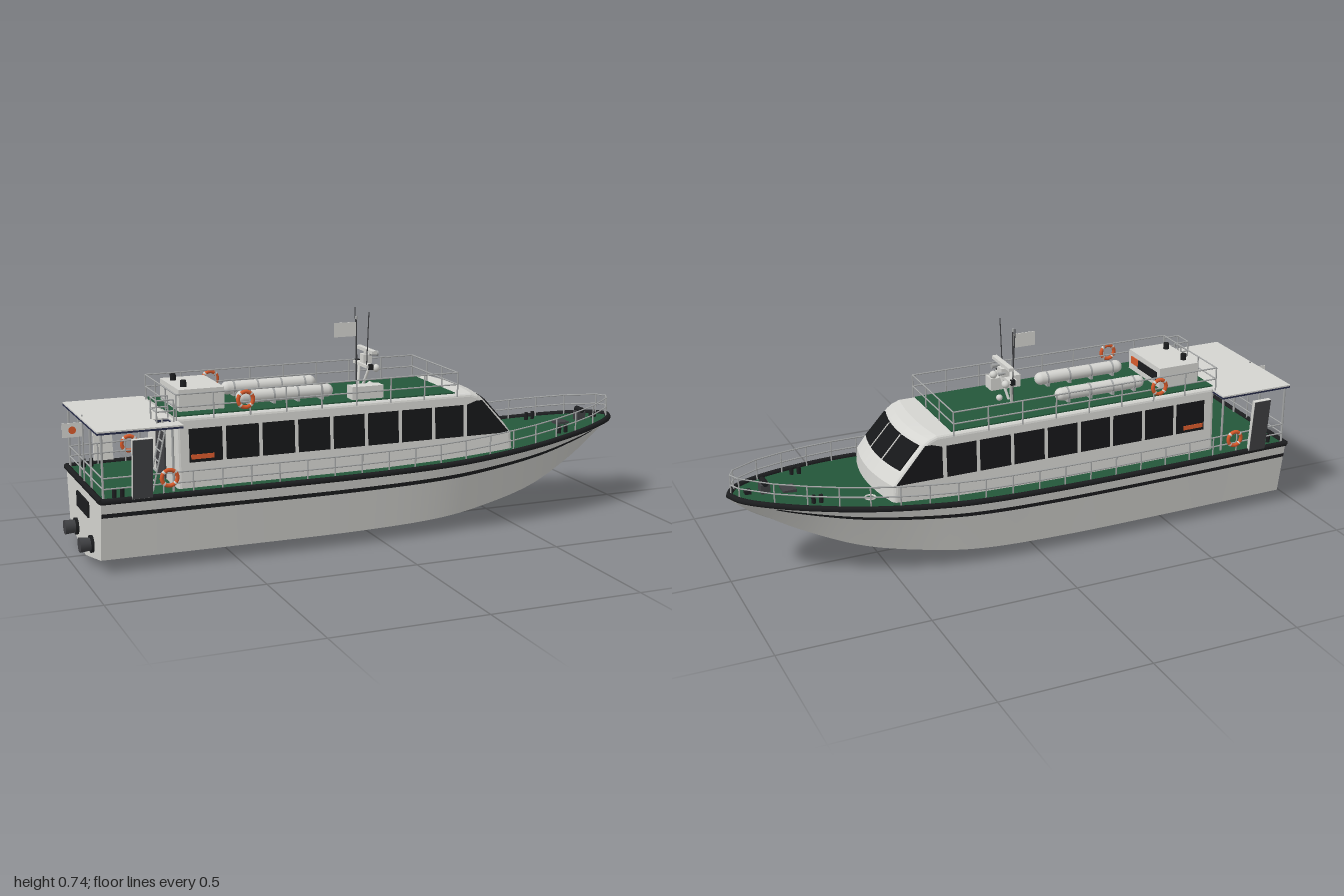
import * as THREE from 'three';

const mat = (name, color, side = THREE.FrontSide) => {
  const m = new THREE.MeshStandardMaterial({ color, side });
  m.name = name;
  return m;
};
const M = {
  white: mat('hullWhite', 0xd4d4d0, THREE.DoubleSide),
  green: mat('deckGreen', 0x24573a, THREE.DoubleSide),
  black: mat('trimBlack', 0x1c1d1f, THREE.DoubleSide),
  glass: mat('darkGlass', 0x161719),
  steel: mat('railSteel', 0xa6a8a8),
  dark: mat('darkGrey', 0x404144),
  orange: mat('safetyOrange', 0xd95a2b),
  navy: mat('navy', 0x262b48),
};
const V = (x, y, z) => new THREE.Vector3(x, y, z);

// Hull stations: x, keel y, chine y, chine z, sheer y, sheer z
const STATIONS = [
  [-0.94, 0, 0.043, 0.215, 0.237, 0.246],
  [-0.5, 0, 0.043, 0.222, 0.237, 0.255],
  [-0.1, 0, 0.043, 0.222, 0.237, 0.256],
  [0.2, 0.006, 0.052, 0.214, 0.243, 0.254],
  [0.4, 0.04, 0.075, 0.188, 0.254, 0.24],
  [0.6, 0.088, 0.112, 0.14, 0.27, 0.208],
  [0.78, 0.16, 0.178, 0.08, 0.286, 0.152],
  [0.9, 0.222, 0.238, 0.035, 0.297, 0.095],
  [0.96, 0.268, 0.272, 0.012, 0.302, 0.048],
  [0.985, 0.29, 0.293, 0, 0.304, 0],
];
const curve = (f) => new THREE.CatmullRomCurve3(STATIONS.map(f), false, 'catmullrom', 0.5);
const keel = curve((s) => V(s[0], s[1], 0));
const chine = curve((s) => V(s[0], s[2], s[3]));
const sheer = curve((s) => V(s[0], s[4], s[5]));
const flip = (p) => V(p.x, p.y, -p.z);

// Curve parameter at a given x
function tAt(x) {
  let a = 0, b = 1;
  for (let i = 0; i < 30; i++) {
    const m = (a + b) / 2;
    if (sheer.getPoint(m).x < x) a = m; else b = m;
  }
  return a;
}

// Surface through rows of points
function loft(rows) {
  const n = rows[0].length, idx = [];
  for (let i = 0; i < rows.length - 1; i++)
    for (let j = 0; j < n - 1; j++) {
      const a = i * n + j, b = a + n;
      idx.push(a, b, a + 1, b, b + 1, a + 1);
    }
  const g = new THREE.BufferGeometry().setFromPoints(rows.flat());
  g.setIndex(idx);
  g.computeVertexNormals();
  return g;
}

export function createModel() {
  const root = new THREE.Group();
  root.name = 'patrolBoat';
  const add = (name, geo, m, x = 0, y = 0, z = 0) => {
    const mesh = new THREE.Mesh(geo, m);
    mesh.name = name;
    mesh.position.set(x, y, z);
    root.add(mesh);
    return mesh;
  };
  // Box given by its limits
  const box = (name, m, x0, x1, y0, y1, z0, z1) =>
    add(name, new THREE.BoxGeometry(x1 - x0, y1 - y0, z1 - z0), m, (x0 + x1) / 2, (y0 + y1) / 2, (z0 + z1) / 2);
  const rod = (name, a, b, r = 0.0028, m = M.steel) => {
    const mesh = add(name, new THREE.CylinderGeometry(r, r, a.distanceTo(b), 6), m);
    mesh.position.copy(a).add(b).multiplyScalar(0.5);
    mesh.quaternion.setFromUnitVectors(V(0, 1, 0), b.clone().sub(a).normalize());
    return mesh;
  };
  // Railing along base points with a post at each
  const railing = (name, pts, levels, r = 0.0025) => {
    const up = (p, h) => V(p.x, p.y + h, p.z);
    pts.forEach((p, i) => {
      rod(name + 'Post', p, up(p, levels[0]), r);
      if (i) levels.forEach((h) => rod(name + 'Bar', up(pts[i - 1], h), up(p, h), r));
    });
  };
  const sides = [1, -1];

  // Hull: bottom and side panels, transom, deck
  const ts = Array.from({ length: 61 }, (_, i) => i / 60);
  const strip = (a, b) => loft(ts.map((t) => [a(t), b(t)]));
  const K = (t) => keel.getPoint(t), C = (t) => chine.getPoint(t), S = (t) => sheer.getPoint(t);
  const Cm = (t) => flip(C(t)), Sm = (t) => flip(S(t));
  add('hullBottomLeft', strip(K, C), M.white);
  add('hullBottomRight', strip(Cm, K), M.white);
  add('hullSideLeft', strip(C, S), M.white);
  add('hullSideRight', strip(Sm, Cm), M.white);
  add('transom', loft([[Sm(0), S(0)], [Cm(0), C(0)], [K(0), K(0)]]), M.white);
  add('deck', strip(S, Sm), M.green);

  // Rub rail around the sheer and hull stripes
  const rim = [...ts.map(S), ...ts.slice(0, -1).reverse().map(Sm)];
  add('rubRail', new THREE.TubeGeometry(new THREE.CatmullRomCurve3(rim), 160, 0.01, 8), M.black);
  rod('sternRubRail', S(0), Sm(0), 0.01, M.black);
  const onSide = (t, f) => S(t).lerp(C(t), f).add(V(0.001, -0.001, 0.002));
  const tEnd = tAt(0.86);
  const stripeRows = ts.map((t) => [onSide(t * tEnd, 0.27), onSide(t * tEnd, 0.2)]);
  add('hullStripeLeft', loft(stripeRows), M.black);
  add('hullStripeRight', loft(stripeRows.map((r) => [flip(r[1]), flip(r[0])])), M.black);

  // Transom panel and exhausts
  box('transomPanel', M.black, -0.946, -0.938, 0.145, 0.195, -0.08, 0.08);
  for (const s of sides) {
    add('exhaust', new THREE.CylinderGeometry(0.024, 0.02, 0.045, 16).rotateZ(Math.PI / 2), M.dark, -0.96, 0.068, s * 0.108);
    add('exhaustFlange', new THREE.CylinderGeometry(0.028, 0.028, 0.01, 16).rotateZ(Math.PI / 2), M.black, -0.944, 0.068, s * 0.108);
  }

  // Cabin: side profile extruded across, tapered upward and bowed at the nose
  const warp = (g) => {
    const p = g.attributes.position;
    for (let i = 0; i < p.count; i++) {
      const x = p.getX(i), y = p.getY(i), z = p.getZ(i);
      p.setZ(i, z * (1 - 0.22 * (y - 0.235)));
      p.setX(i, x - 0.8 * z * z * THREE.MathUtils.clamp((x - 0.3) / 0.1, 0, 1));
    }
    g.computeVertexNormals();
    return g;
  };
  const extrude = (pts, z0, z1, steps = 1, bevel = 0) => {
    const shape = new THREE.Shape(pts.map((p) => new THREE.Vector2(p[0], p[1])));
    return new THREE.ExtrudeGeometry(shape, {
      depth: z1 - z0, steps, bevelEnabled: bevel > 0, bevelSize: bevel, bevelThickness: bevel,
      bevelOffset: -bevel, bevelSegments: 3,
    }).translate(0, 0, z0);
  };
  add('cabin', warp(extrude([[-0.68, 0.225], [0.53, 0.225], [0.523, 0.315], [0.495, 0.352], [0.415, 0.44],
    [0.395, 0.454], [0.36, 0.463], [-0.68, 0.463]], -0.173, 0.173, 8, 0.012)), M.white);
  add('windscreen', warp(extrude([[0.485, 0.358], [0.493, 0.36], [0.426, 0.435], [0.416, 0.433]], -0.166, 0.166, 8)), M.glass);
  for (const z of [-0.056, 0.056])
    add('windscreenPillar', warp(extrude([[0.486, 0.358], [0.495, 0.361], [0.428, 0.436], [0.416, 0.433]], z - 0.002, z + 0.002)), M.white);
  for (const s of sides) {
    const plate = (name, pts, m, d = 0.003) => {
      const a = 0.1835 * s, b = a + d * s;
      add(name, warp(extrude(pts, Math.min(a, b), Math.max(a, b))), m);
    };
    for (let i = 0; i < 8; i++) {
      const x = -0.64 + i * 0.1215;
      plate('sideWindow', [[x, 0.318], [x + 0.109, 0.318], [x + 0.109, 0.425], [x, 0.425]], M.glass);
    }
    plate('frontQuarterWindow', [[0.34, 0.318], [0.516, 0.318], [0.413, 0.436], [0.388, 0.436], [0.34, 0.425]], M.glass);
    plate('orangePanel', [[-0.635, 0.328], [-0.56, 0.328], [-0.56, 0.343], [-0.635, 0.343]], M.orange, 0.005);
  }
  box('cabinDoor', M.dark, -0.686, -0.678, 0.24, 0.42, -0.05, 0.05);

  // Roof deck, locker, rafts and equipment box
  box('roofDeck', M.green, -0.68, 0.29, 0.46, 0.467, -0.162, 0.162);
  box('roofLocker', M.white, -0.65, -0.5, 0.465, 0.537, -0.11, 0.11);
  box('lockerVent', M.black, -0.502, -0.497, 0.488, 0.518, -0.09, 0.04);
  box('lockerOrangePanel', M.orange, -0.502, -0.497, 0.492, 0.518, 0.04, 0.09);
  for (const z of [0.06, -0.06])
    add('lockerVentCap', new THREE.CylinderGeometry(0.01, 0.01, 0.022, 12), M.black, -0.62, 0.547, z);
  box('equipmentBox', M.white, -0.075, 0.035, 0.465, 0.51, 0.103, 0.15);
  for (const s of sides) {
    add('lifeRaft', new THREE.CapsuleGeometry(0.022, 0.29, 6, 16).rotateZ(Math.PI / 2), M.white, -0.285, 0.493, s * 0.08);
    for (let i = 0; i < 4; i++) {
      const x = -0.41 + i * 0.083;
      add('raftBand', new THREE.CylinderGeometry(0.0235, 0.0235, 0.006, 16).rotateZ(Math.PI / 2), M.steel, x, 0.493, s * 0.08);
      box('raftCradle', M.steel, x - 0.005, x + 0.005, 0.465, 0.48, s * 0.08 - 0.02, s * 0.08 + 0.02);
    }
  }
  const roofPts = [];
  for (let i = 0; i <= 8; i++) roofPts.push(V(-0.68 + i * 0.12125, 0.455, 0.182));
  const roofLoop = [...roofPts, V(0.29, 0.455, 0.06), V(0.29, 0.455, -0.06), ...roofPts.map(flip).reverse(),
    V(-0.68, 0.455, -0.06), V(-0.68, 0.455, 0.06), roofPts[0]];
  railing('roofRail', roofLoop, [0.083, 0.043]);

  // Aft canopy with a ladder opening
  const sheet = new THREE.Shape([[-0.945, -0.242], [-0.675, -0.242], [-0.675, 0.242], [-0.945, 0.242]].map((p) => new THREE.Vector2(...p)));
  sheet.holes.push(new THREE.Path([[-0.74, -0.185], [-0.74, -0.125], [-0.69, -0.125], [-0.69, -0.185]].map((p) => new THREE.Vector2(...p))));
  const slab = (d) => new THREE.ExtrudeGeometry(sheet, { depth: d, bevelEnabled: false }).rotateX(-Math.PI / 2);
  add('canopy', slab(0.005), M.white, 0, 0.45, 0);
  add('canopyTrim', slab(0.006), M.navy, 0, 0.444, 0);
  railing('hatchRail', [V(-0.69, 0.455, 0.19), V(-0.745, 0.455, 0.19), V(-0.745, 0.455, 0.12), V(-0.69, 0.455, 0.12)], [0.07, 0.035]);
  for (const z of [0.13, 0.18]) rod('ladderSide', V(-0.76, 0.237, z), V(-0.71, 0.455, z));
  for (let i = 1; i < 7; i++)
    rod('ladderRung', V(-0.76 + i * 0.007, 0.237 + i * 0.031, 0.13), V(-0.76 + i * 0.007, 0.237 + i * 0.031, 0.18));
  for (const s of sides)
    for (const [x, z] of [[-0.93, 0.232], [-0.7, 0.205], [-0.93, 0.08]])
      rod('canopyPost', V(x, 0.235, s * z), V(x, 0.448, s * z), 0.004);

  // Deck railing following the sheer, closed at bow and stern
  const rail = [];
  for (let i = 0; i <= 20; i++) {
    const p = sheer.getPoint(tAt(-0.93 + i * 0.0945));
    rail.push(V(p.x, p.y, p.z - 0.012));
  }
  const bow = V(0.978, 0.303, 0);
  railing('deckRail', [...rail, bow, ...rail.map(flip).reverse(), V(-0.93, 0.237, -0.08), V(-0.93, 0.237, 0.08), rail[0]], [0.07, 0.036]);

  // Tilted boarding ramps beside the aft deck
  for (const s of sides) {
    const ramp = new THREE.Group();
    ramp.name = 'boardingRamp';
    const frame = new THREE.Mesh(new THREE.BoxGeometry(0.064, 0.19, 0.014), M.white);
    const face = new THREE.Mesh(new THREE.BoxGeometry(0.062, 0.188, 0.008), M.dark);
    frame.name = 'rampFrame';
    face.name = 'rampFace';
    face.position.z = s * 0.005;
    ramp.add(frame, face);
    ramp.position.set(-0.813, 0.335, s * 0.261);
    ramp.rotation.x = s * 0.1;
    root.add(ramp);
  }

  // Life rings with pale bands
  for (const s of sides)
    for (const [x, y, z] of [[-0.455, 0.507, 0.188], [-0.725, 0.294, 0.25]]) {
      add('lifeRing', new THREE.TorusGeometry(0.025, 0.0065, 10, 28), M.orange, x, y, s * z);
      for (let i = 0; i < 4; i++)
        add('lifeRingBand', new THREE.TorusGeometry(0.025, 0.007, 8, 4, 0.25), M.white, x, y, s * z).rotation.z = i * Math.PI / 2 + 0.66;
    }

  // Mast with crossbeam, radar, lamps, antennas and flag
  for (const s of sides) {
    rod('mastLeg', V(0.01, 0.465, s * 0.012), V(0.03, 0.555, s * 0.045), 0.005, M.white);
    add('mastDome', new THREE.SphereGeometry(0.013, 16, 12), M.white, 0.05, 0.548, s * 0.05);
    box('mastLamp', M.black, 0.02, 0.035, 0.545, 0.563, s * 0.058 - 0.006, s * 0.058 + 0.006);
    rod('whipAntenna', V(0.02, 0.56, s * 0.042), V(0.02, 0.74, s * 0.061), 0.0018, M.dark);
  }
  box('mastBeam', M.white, 0.012, 0.04, 0.55, 0.56, -0.06, 0.06);
  box('radarPedestal', M.white, 0.02, 0.05, 0.56, 0.59, -0.017, 0.017);
  rod('radarShaft', V(0.035, 0.59, 0), V(0.035, 0.6, 0), 0.008, M.white);
  box('radarBar', M.white, 0.028, 0.046, 0.598, 0.609, -0.07, 0.07);
  add('searchlight', new THREE.SphereGeometry(0.011, 16, 12), M.white, 0.05, 0.483, 0);
  add('horn', new THREE.CylinderGeometry(0.009, 0.005, 0.03, 12).rotateZ(-Math.PI / 2), M.steel, 0.055, 0.592, 0.02);
  add('hornSmall', new THREE.CylinderGeometry(0.006, 0.004, 0.025, 12).rotateZ(-Math.PI / 2), M.steel, 0.052, 0.577, -0.025);
  rod('flagPole', V(0, 0.465, 0), V(0, 0.71, 0), 0.0025, M.dark);
  add('mastheadLamp', new THREE.CylinderGeometry(0.004, 0.004, 0.01, 10), M.steel, 0, 0.714, 0);
  box('flag', M.white, -0.08, -0.002, 0.652, 0.7, -0.0015, 0.0015);

  // Stern flag
  rod('sternFlagPole', V(-0.935, 0.24, 0), V(-0.935, 0.46, 0));
  box('sternFlag', M.white, -1, -0.937, 0.39, 0.436, -0.0015, 0.0015);
  add('sternFlagDisc', new THREE.CylinderGeometry(0.012, 0.012, 0.005, 20).rotateX(Math.PI / 2), M.orange, -0.968, 0.413, 0);

  // Foredeck windlass, hatch, ring and bollards
  box('windlass', M.dark, 0.855, 0.885, 0.29, 0.325, -0.018, 0.018);
  add('windlassDrum', new THREE.CylinderGeometry(0.01, 0.01, 0.04, 12).rotateX(Math.PI / 2), M.black, 0.87, 0.33, 0);
  box('bowFairlead', M.black, 0.915, 0.935, 0.297, 0.312, -0.01, 0.01);
  box('foredeckHatch', M.dark, 0.77, 0.815, 0.28, 0.295, -0.024, 0.024);
  add('deckRing', new THREE.TorusGeometry(0.017, 0.003, 8, 24).rotateX(Math.PI / 2), M.white, 0.56, 0.271, -0.13);
  for (const s of sides)
    for (const [x, y, z] of [[-0.89, 0.25, 0.21], [-0.865, 0.25, 0.21], [0.72, 0.292, 0.12], [0.745, 0.294, 0.12]])
      add('bollard', new THREE.CylinderGeometry(0.007, 0.007, 0.03, 10), M.black, x, y, s * z);

  return root;
}
